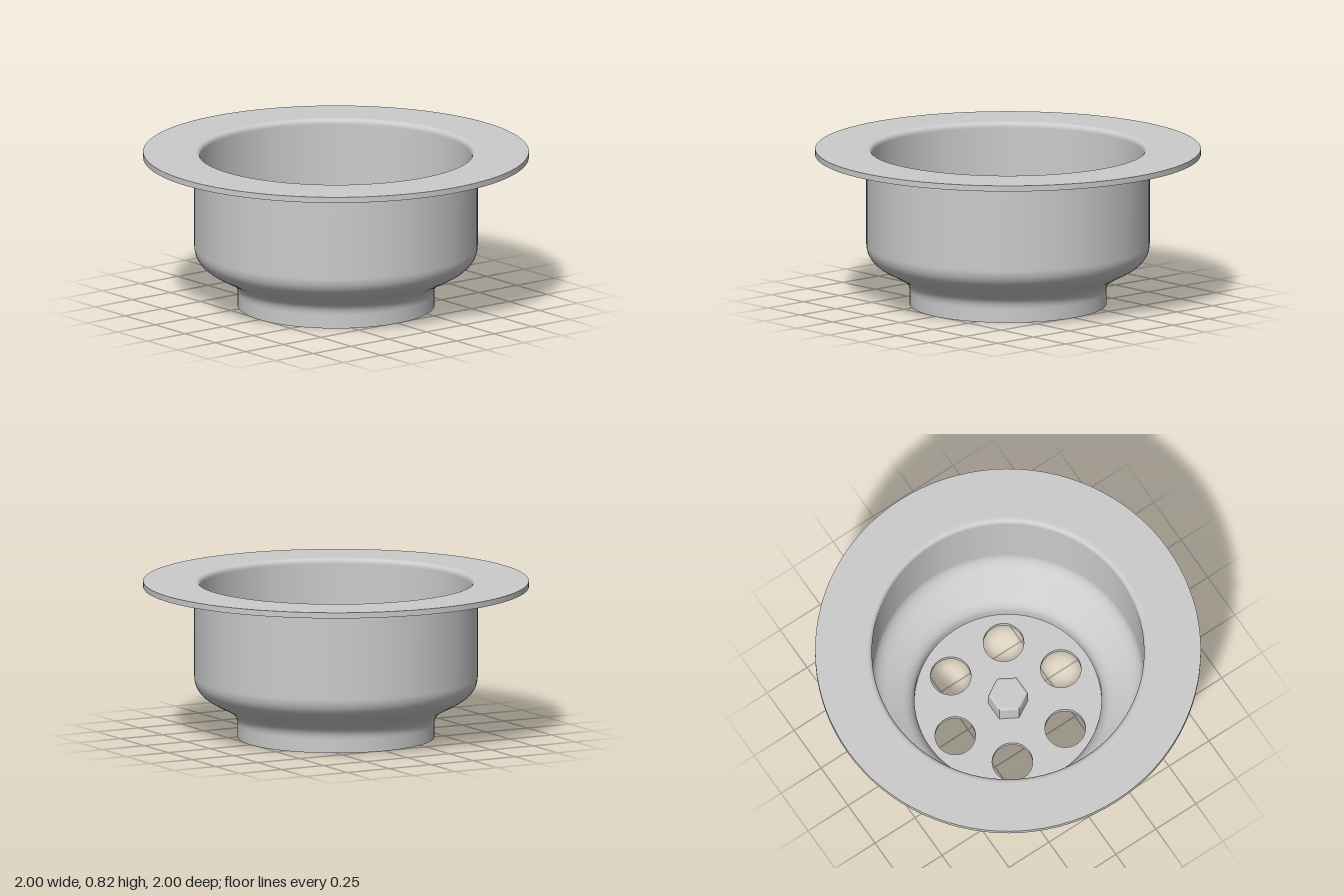
import * as THREE from 'three';

const SEGMENTS = 96;

export function createModel() {
  const group = new THREE.Group();
  const material = new THREE.MeshStandardMaterial({ color: 0xcccccc });

  const add = (name, geometry) => {
    const mesh = new THREE.Mesh(geometry, material);
    mesh.name = name;
    group.add(mesh);
  };
  // Each lathe is one smooth run, so edges between runs stay sharp
  const lathe = (name, path) => add(name, new THREE.LatheGeometry(path.getPoints(10), SEGMENTS));
  const start = (x, y) => new THREE.Path().moveTo(x, y);

  // Outside of the cup: narrow neck, sloped shoulder, straight wall
  lathe('outerWall', start(0.51, 0.03)
    .lineTo(0.51, 0.07)
    .quadraticCurveTo(0.51, 0.12, 0.56, 0.148)
    .lineTo(0.645, 0.193)
    .quadraticCurveTo(0.735, 0.24, 0.735, 0.32)
    .lineTo(0.735, 0.79));

  // Flange: underside, edge and top
  lathe('flangeUnderside', start(0.735, 0.79).lineTo(1, 0.79));
  lathe('flangeEdge', start(1, 0.79).lineTo(1, 0.82));
  lathe('flangeTop', start(1, 0.82).lineTo(0.735, 0.82));

  // Inside of the cup, from the rounded lip down to the strainer plate
  lathe('innerWall', start(0.735, 0.82)
    .quadraticCurveTo(0.705, 0.82, 0.705, 0.79)
    .lineTo(0.705, 0.33)
    .quadraticCurveTo(0.705, 0.26, 0.63, 0.22)
    .lineTo(0.545, 0.175)
    .quadraticCurveTo(0.485, 0.142, 0.485, 0.08)
    .lineTo(0.485, 0.03));

  // Strainer plate with a ring of six drain holes
  const plate = new THREE.Shape().absarc(0, 0, 0.51, 0, Math.PI * 2);
  for (let i = 0; i < 6; i++) {
    const a = Math.PI / 2 + (i * Math.PI) / 3;
    plate.holes.push(new THREE.Path()
      .absarc(0.33 * Math.cos(a), 0.33 * Math.sin(a), 0.105, 0, Math.PI * 2, true));
  }
  add('strainerPlate', new THREE.ExtrudeGeometry(plate, {
    depth: 0.03, bevelEnabled: false, curveSegments: SEGMENTS / 2,
  }).rotateX(-Math.PI / 2));

  // Hexagonal bolt head in the middle, with softened edges
  const hexagon = new THREE.Shape(Array.from({ length: 6 }, (_, i) =>
    new THREE.Vector2(0.103 * Math.cos((i * Math.PI) / 3), 0.103 * Math.sin((i * Math.PI) / 3))));
  add('boltHead', new THREE.ExtrudeGeometry(hexagon, {
    depth: 0.125, bevelThickness: 0.015, bevelSize: 0.012, bevelOffset: -0.012, bevelSegments: 3,
  }).rotateX(-Math.PI / 2).translate(0, 0.02, 0));

  return group;
}
